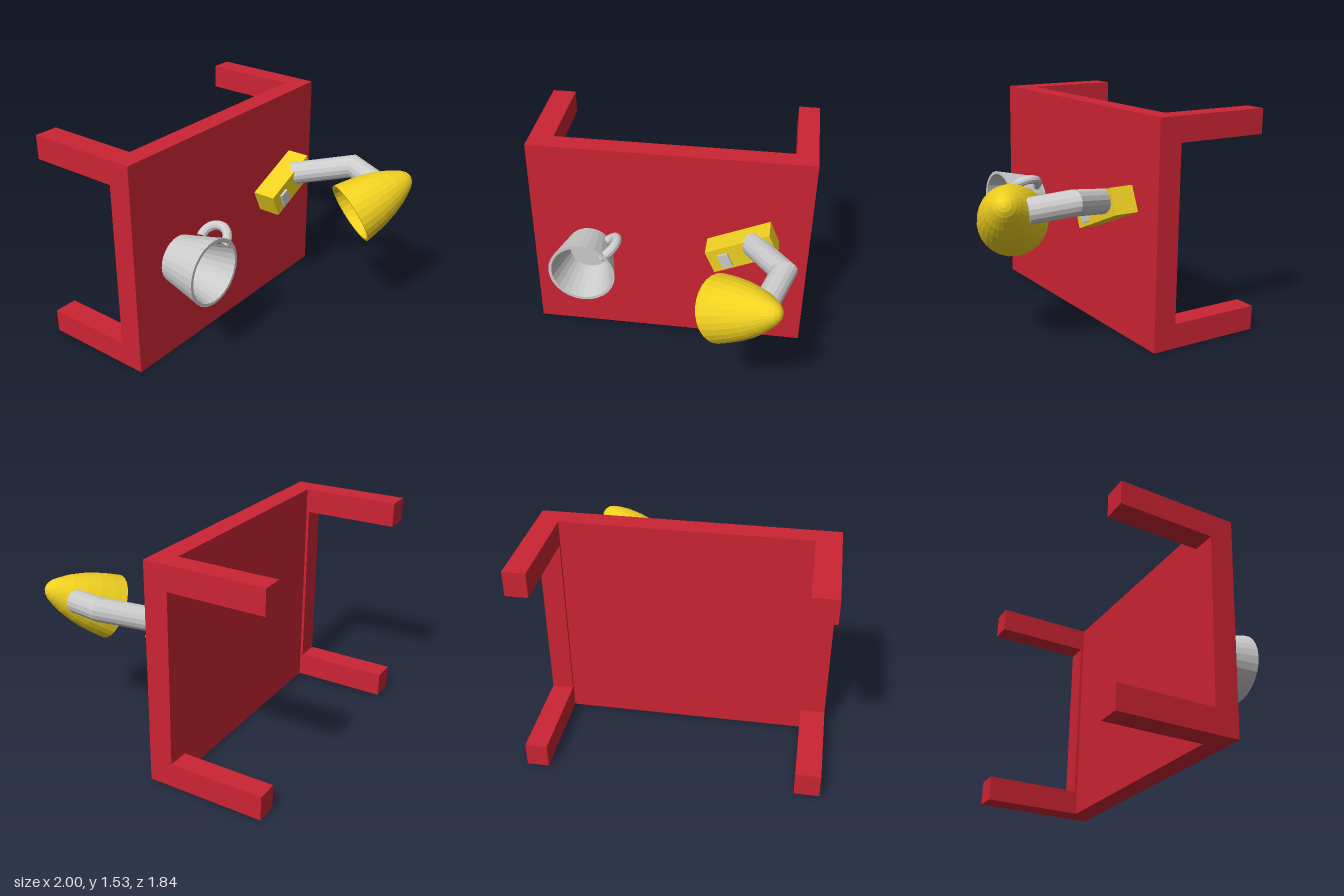
import * as THREE from 'three';

const V = (x, y, z) => new THREE.Vector3(x, y, z);
const paint = (color) => new THREE.MeshStandardMaterial({ color, flatShading: true });

export function createModel() {
  const model = new THREE.Group();
  const red = paint(0xcc2433), yellow = paint(0xf0d020), grey = paint(0xcccccc);

  const add = (name, geometry, material, parent = model) => {
    const mesh = new THREE.Mesh(geometry, material);
    mesh.name = name;
    parent.add(mesh);
    return mesh;
  };

  // Table lying on its side: top faces +z, legs run to -z
  const H = 1.535, front = -0.095;
  const table = new THREE.Group();
  table.name = 'table';
  model.add(table);
  add('tableTop', new THREE.BoxGeometry(1.68, H, 0.145), red, table)
    .position.set(0.01, H / 2, front - 0.0725);

  // Each end is a U-shaped frame holding two legs
  const frame = (name, x0, x1) => {
    const u = [[0.095, 0], [0.92, 0], [0.92, 0.17], [0.26, 0.17],
      [0.26, H - 0.17], [0.92, H - 0.17], [0.92, H], [0.095, H]];
    const shape = new THREE.Shape(u.map(([z, y]) => new THREE.Vector2(z, y)));
    const geo = new THREE.ExtrudeGeometry(shape, { depth: x1 - x0, bevelEnabled: false });
    geo.rotateY(Math.PI / 2);
    add(name, geo, red, table).position.x = x0;
  };
  frame('rightLegFrame', -1, -0.83);
  frame('leftLegFrame', 0.85, 1);

  // Mug with its base on the table top
  const mug = new THREE.Group();
  mug.name = 'mug';
  mug.position.set(-0.58, 0.708, front);
  model.add(mug);
  const cup = [[0, 0], [0.168, 0], [0.24, 0.317], [0.218, 0.317], [0.145, 0.04], [0, 0.04]];
  add('mugBody', new THREE.LatheGeometry(cup.map(([r, y]) => new THREE.Vector2(r, y)), 28)
    .rotateX(Math.PI / 2), grey, mug);
  // Handle ring stands in the plane through the mug axis
  const handle = new THREE.TorusGeometry(0.1, 0.033, 10, 16, Math.PI * 1.1);
  handle.rotateZ(-Math.PI * 0.55).rotateX(Math.PI / 2);
  handle.translate(0.215, 0, 0.18).rotateZ(0.72);
  add('mugHandle', handle, grey, mug);

  // Lamp base, turned on the table, with a switch
  const base = new THREE.Group();
  base.name = 'lampBase';
  base.position.set(0.5325, 0.886, -0.01);
  base.rotation.z = 0.41;
  model.add(base);
  add('baseBlock', new THREE.BoxGeometry(0.477, 0.18, 0.17), yellow, base);
  add('switch', new THREE.BoxGeometry(0.076, 0.11, 0.03), grey, base)
    .position.set(-0.125, -0.012, 0.087);

  // Two arm segments mitred together at the elbow
  const start = V(0.6, 0.945, 0.02), elbow = V(0.825, 1.03, 0.41), end = V(0.735, 0.993, 0.68);
  const dirA = elbow.clone().sub(start).normalize();
  const dirB = end.clone().sub(elbow).normalize();
  const miter = dirA.clone().add(dirB).normalize();
  const arm = (name, a, b) => {
    const dir = b.clone().sub(a), len = dir.length();
    dir.normalize();
    const geo = new THREE.CylinderGeometry(0.083, 0.083, len, 16);
    const q = new THREE.Quaternion().setFromUnitVectors(V(0, 1, 0), dir);
    const pos = geo.attributes.position, v = V();
    for (let i = 0; i < pos.count; i++) {
      v.fromBufferAttribute(pos, i);
      const atElbow = v.y > 0 === (b === elbow);
      v.y += len / 2;
      v.applyQuaternion(q).add(a);
      if (atElbow) v.addScaledVector(dir, elbow.clone().sub(v).dot(miter) / dir.dot(miter));
      pos.setXYZ(i, v.x, v.y, v.z);
    }
    geo.computeVertexNormals();
    add(name, geo, grey);
  };
  arm('lowerArm', start, elbow);
  arm('upperArm', elbow, end);

  // Hollow bell shade: inner wall down to the rim, outer wall back up to the tip
  const outer = [[0.23, 0], [0.216, 0.09], [0.197, 0.18], [0.17, 0.27], [0.134, 0.36],
    [0.095, 0.43], [0.072, 0.465], [0.045, 0.492], [0.02, 0.504], [0, 0.507]];
  const inner = outer.map(([r, y]) => [Math.max(0, r - 0.018), y * 0.96]).slice(0, -2);
  const bell = [[0, 0.48], ...inner.reverse(), ...outer];
  const shade = add('lampShade',
    new THREE.LatheGeometry(bell.map(([r, y]) => new THREE.Vector2(r, y)), 28), yellow);
  shade.position.set(0.44, 0.86, 0.63);
  shade.quaternion.setFromUnitVectors(V(0, 1, 0), V(0.382, 0.22, 0.25).normalize());

  return model;
}
